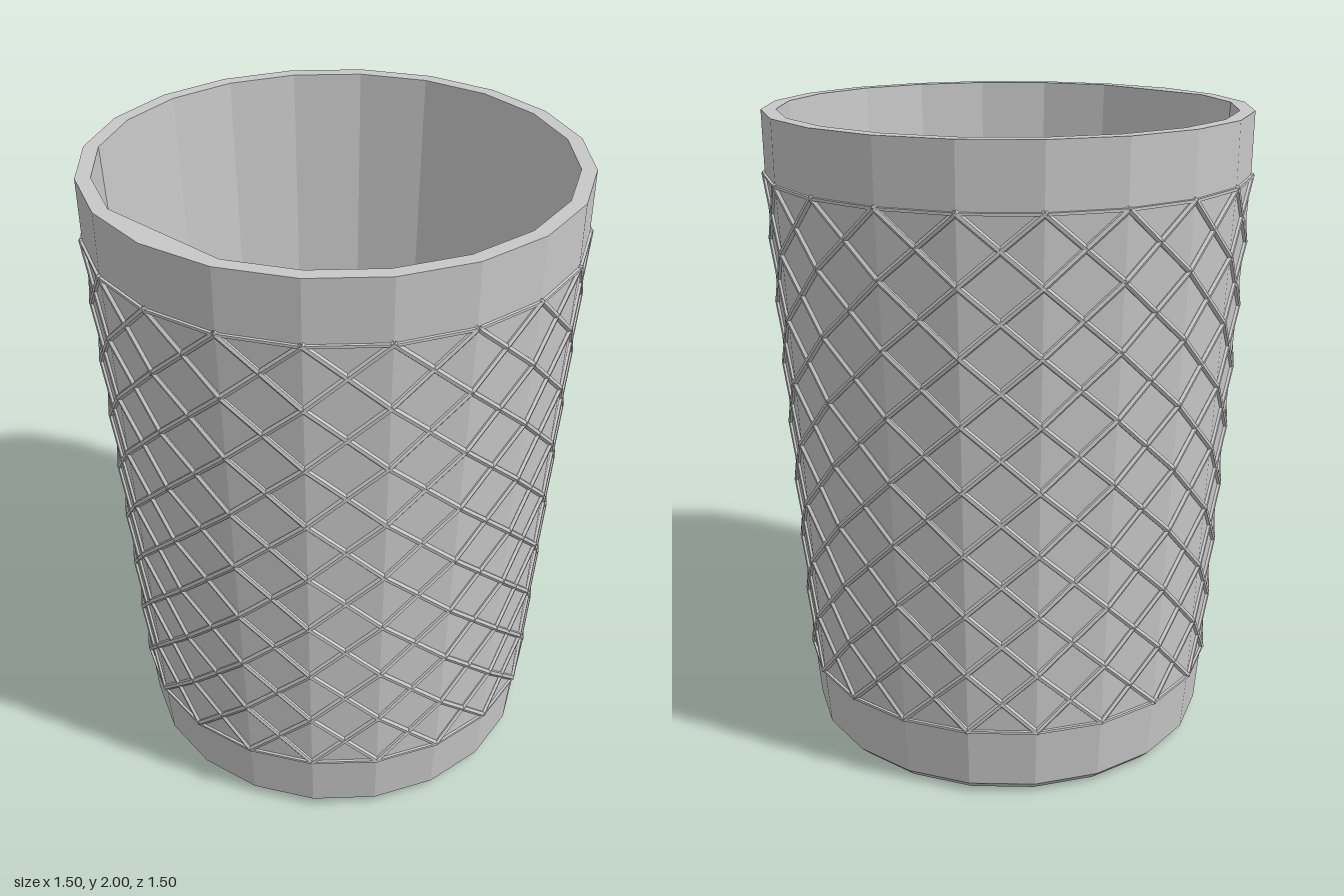
import * as THREE from 'three';
import { mergeGeometries } from 'three/addons/utils/BufferGeometryUtils.js';

const SIDES = 20, ROWS = 8, STEP = (Math.PI * 2) / SIDES;
const LOW = 0.225, HIGH = 1.81, R_LOW = 0.661, R_HIGH = 0.738;

// Faceted look: split all faces and give each its own normal
function facet(geometry) {
  const g = geometry.toNonIndexed();
  g.computeVertexNormals();
  return g;
}

function lathe(profile) {
  return new THREE.LatheGeometry(profile.map(([r, y]) => new THREE.Vector2(r, y)), SIDES);
}

// Point on a vertical edge of the tapered wall: edge number, row number
function wallPoint(edge, row) {
  const t = row / ROWS, r = THREE.MathUtils.lerp(R_LOW, R_HIGH, t);
  return new THREE.Vector3(r * Math.sin(edge * STEP), THREE.MathUtils.lerp(LOW, HIGH, t), r * Math.cos(edge * STEP));
}

// Thin six-sided rod between two points
function rod(a, b, radius) {
  const dir = b.clone().sub(a);
  const g = new THREE.CylinderGeometry(radius, radius, dir.length() * 1.03, 6, 1, true);
  g.applyQuaternion(new THREE.Quaternion().setFromUnitVectors(new THREE.Vector3(0, 1, 0), dir.normalize()));
  const mid = a.clone().add(b).multiplyScalar(0.5);
  return g.translate(mid.x, mid.y, mid.z);
}

export function createModel() {
  const group = new THREE.Group();
  const grey = new THREE.MeshStandardMaterial({ color: 0xc8c8c8 });
  grey.name = 'light grey';
  const add = (name, geometry) => {
    const mesh = new THREE.Mesh(facet(geometry), grey);
    mesh.name = name;
    group.add(mesh);
  };

  // Outer wall: base, chamfer, tapered side and straight rim band
  add('outerWall', lathe([[0, 0], [0.615, 0], [0.645, 0.03], [R_LOW, LOW], [R_HIGH, HIGH], [0.74, 2]]));

  // Rim top, inner wall and floor; one inner edge is flattened into a wider facet
  const inner = lathe([[0.74, 2], [0.695, 2], [0.6, 0.08], [0.575, 0.05], [0, 0.05]]);
  const pos = inner.attributes.position, flat = Math.cos(STEP);
  for (let j = 1; j < 5; j++) {
    const i = (SIDES - 1) * 5 + j;
    pos.setXYZ(i, pos.getX(i) * flat, pos.getY(i), pos.getZ(i) * flat);
  }
  add('innerWall', inner);

  // Diamond lattice: rods crossing each wall panel both ways
  const rods = [];
  for (let edge = 0; edge < SIDES; edge++) {
    for (let row = 0; row < ROWS; row++) {
      rods.push(rod(wallPoint(edge, row), wallPoint(edge + 1, row + 1), 0.01));
      rods.push(rod(wallPoint(edge + 1, row), wallPoint(edge, row + 1), 0.01));
    }
  }
  add('diamondLattice', mergeGeometries(rods));

  // Slim rings closing the lattice at both ends
  for (const [name, r, y] of [['lowerRing', R_LOW, LOW], ['upperRing', R_HIGH, HIGH]]) {
    add(name, lathe([[r - 0.004, y - 0.007], [r + 0.008, y - 0.005], [r + 0.008, y + 0.003], [r - 0.004, y + 0.004]]));
  }
  return group;
}
